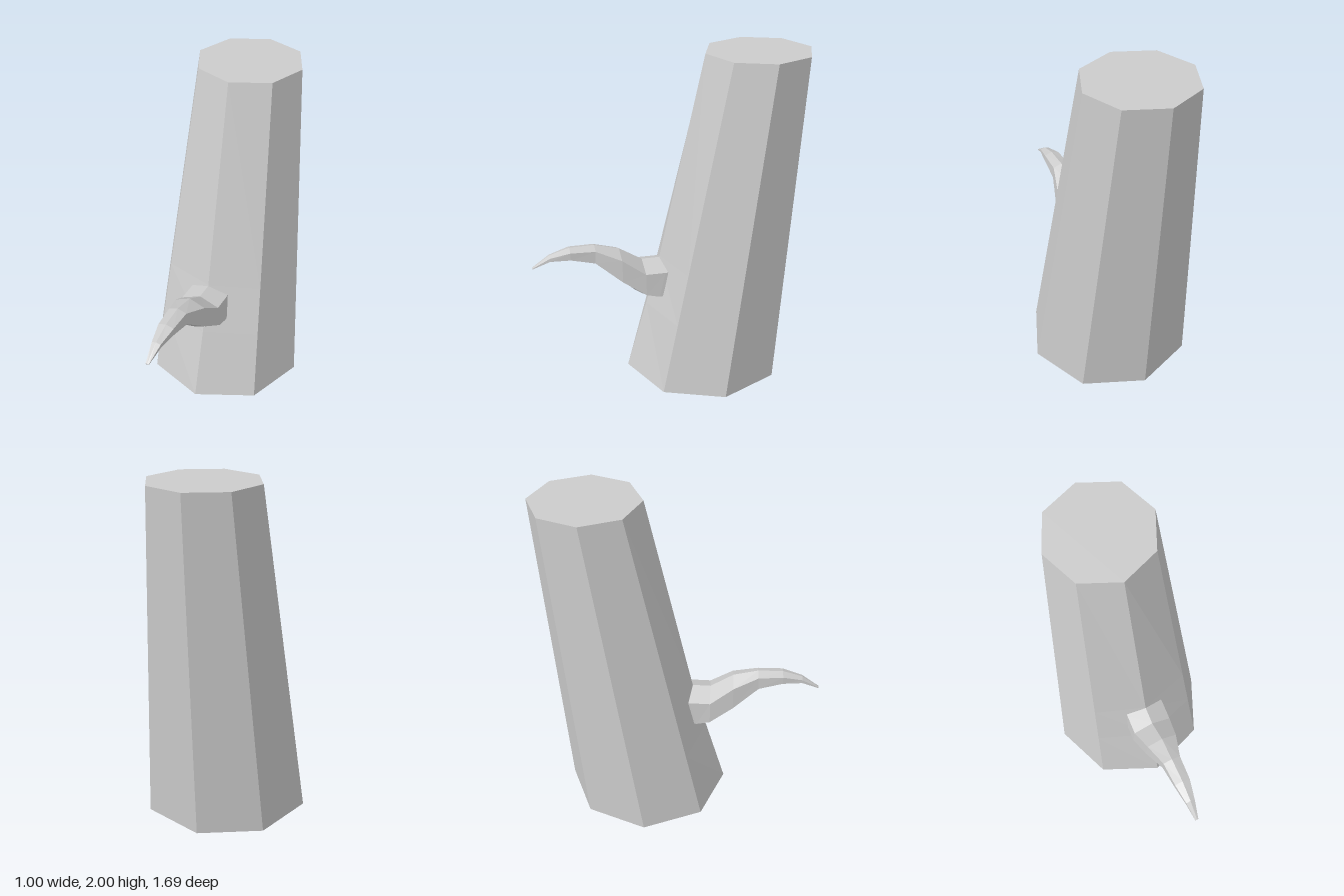
import * as THREE from 'three';

// Skin a series of equal-sized closed rings and cap both ends.
function loft(rings) {
  const n = rings[0].length;
  const index = [];
  for (let i = 0; i < rings.length - 1; i++) {
    for (let j = 0; j < n; j++) {
      const a = i * n + j, b = i * n + (j + 1) % n;
      index.push(a, b, a + n, b, b + n, a + n);
    }
  }
  const last = (rings.length - 1) * n;
  for (let j = 1; j < n - 1; j++) {
    index.push(0, j + 1, j);
    index.push(last, last + j, last + j + 1);
  }
  const geometry = new THREE.BufferGeometry();
  geometry.setAttribute('position', new THREE.Float32BufferAttribute(rings.flat(2), 3));
  geometry.setIndex(index);
  const flat = geometry.toNonIndexed();
  flat.computeVertexNormals();
  return flat;
}

// Leaning eight-sided trunk; the front ridge dips slightly around the thorn.
function trunkGeometry() {
  const levels = [[0, 0], [0.44, 0.018], [0.757, 0.028], [2, 0]]; // height, dip
  return loft(levels.map(([y, dip]) => {
    const t = y / 2;
    const radius = THREE.MathUtils.lerp(0.498, 0.32, t);
    const z = THREE.MathUtils.lerp(-0.217, -0.524, t);
    return Array.from({ length: 8 }, (_, k) => {
      const a = k * Math.PI / 4;
      return [radius * Math.sin(a), y, z + radius * Math.cos(a) - (k === 0 ? dip : 0)];
    });
  }));
}

// Curved six-sided branch tapering to a drooping point.
function branchGeometry() {
  // each corner pair as [y, z]: top, upper sides, lower sides, bottom; then half widths and centre x
  const sections = [
    [[0.75, -0.02], [0.70, -0.02], [0.55, 0.02], [0.49, 0.08], 0.12, 0.13, 0],
    [[0.75, 0.07], [0.70, 0.06], [0.545, 0.10], [0.495, 0.156], 0.12, 0.13, 0],
    [[0.75, 0.18], [0.70, 0.18], [0.565, 0.18], [0.535, 0.22], 0.12, 0.13, -0.005],
    [[0.84, 0.32], [0.80, 0.32], [0.66, 0.32], [0.635, 0.33], 0.095, 0.105, -0.005],
    [[0.88, 0.47], [0.86, 0.47], [0.785, 0.475], [0.775, 0.475], 0.055, 0.06, -0.01],
    [[0.88, 0.62], [0.865, 0.62], [0.82, 0.62], [0.81, 0.62], 0.048, 0.05, -0.01],
    [[0.845, 0.74], [0.835, 0.74], [0.815, 0.74], [0.81, 0.735], 0.028, 0.03, -0.012],
    [[0.772, 0.845], [0.77, 0.845], [0.766, 0.845], [0.764, 0.843], 0.01, 0.01, -0.016],
  ];
  return loft(sections.map(([top, upper, lower, bottom, wu, wl, x]) => [
    [x, ...top], [x - wu, ...upper], [x - wl, ...lower],
    [x, ...bottom], [x + wl, ...lower], [x + wu, ...upper],
  ]));
}

export function createModel() {
  const group = new THREE.Group();
  group.name = 'treeStump';
  const material = new THREE.MeshStandardMaterial({ color: 0xcccccc, flatShading: true });
  const parts = { trunk: trunkGeometry(), branch: branchGeometry() };
  for (const [name, geometry] of Object.entries(parts)) {
    const mesh = new THREE.Mesh(geometry, material);
    mesh.name = name;
    group.add(mesh);
  }
  return group;
}
